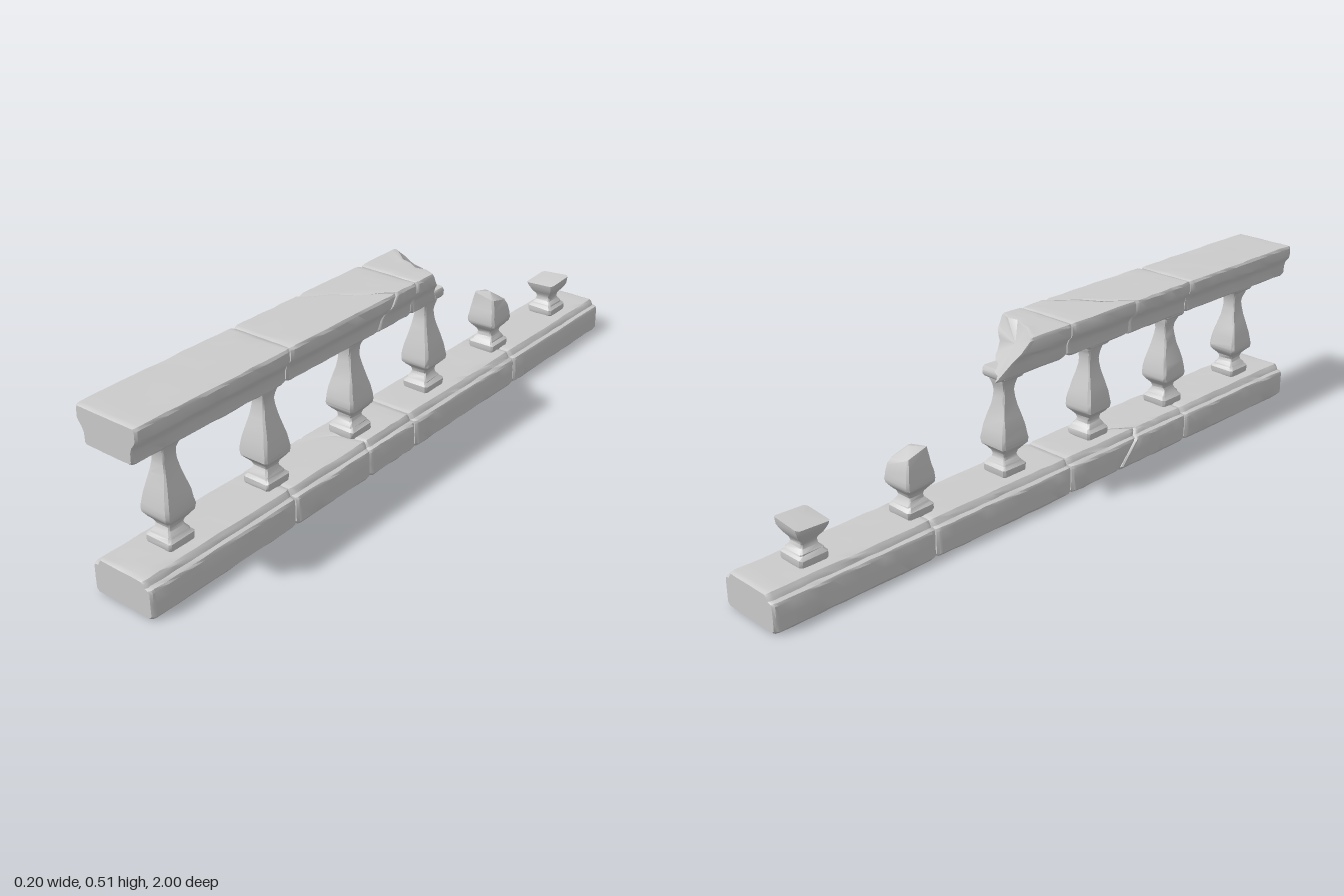
import * as THREE from 'three';
import { toCreasedNormals } from 'three/addons/utils/BufferGeometryUtils.js';

const stone = new THREE.MeshStandardMaterial({ color: 0xcccccc });

let seed = 7;
function rand(amount) {
  seed = (seed * 16807) % 2147483647;
  return (seed / 2147483647 - 0.5) * 2 * amount;
}

// Skin a list of equal-length rings; each end closes to a centre point.
function loft(rings, startPoint, endPoint) {
  const n = rings[0].length;
  const points = [...rings.flat(), startPoint, endPoint];
  const index = [];
  const last = (rings.length - 1) * n;
  for (let j = 0; j < n; j++) {
    const k = (j + 1) % n;
    for (let i = 0; i < last; i += n) {
      index.push(i + j, i + k, i + n + k, i + j, i + n + k, i + n + j);
    }
    index.push(points.length - 2, k, j, points.length - 1, last + j, last + k);
  }
  const geometry = new THREE.BufferGeometry().setFromPoints(points);
  geometry.setIndex(index);
  return toCreasedNormals(geometry, 0.6);
}

function addMesh(group, name, geometry) {
  const mesh = new THREE.Mesh(geometry, stone);
  mesh.name = name;
  group.add(mesh);
}

// Mirror the right half of a section (bottom to top) and split its long edges.
function section(half) {
  const loop = [...half, ...half.slice().reverse().map(([x, y]) => [-x, y])];
  const out = [];
  loop.forEach(([x, y], i) => {
    const [x2, y2] = loop[(i + 1) % loop.length];
    const steps = Math.ceil(Math.hypot(x2 - x, y2 - y) / 0.035);
    for (let s = 0; s < steps; s++) {
      out.push([x + (x2 - x) * s / steps, y + (y2 - y) * s / steps]);
    }
  });
  return out;
}

const railSection = section([[0.074, 0.41], [0.08, 0.416], [0.081, 0.442], [0.086, 0.457],
  [0.097, 0.47], [0.1, 0.478], [0.1, 0.503], [0.095, 0.51]]);
const baseSection = section([[0.092, 0.004], [0.1, 0.013], [0.1, 0.08], [0.096, 0.087],
  [0.084, 0.09], [0.079, 0.1], [0.073, 0.106]]);

// Worn block running between two end surfaces z = back(x, y) and z = front(x, y).
function block(profile, back, front, { backDip = 0, backRound = 0.93 } = {}) {
  const ys = profile.map((p) => p[1]);
  const midY = (Math.min(...ys) + Math.max(...ys)) / 2;
  const length = front(0, midY) - back(0, midY);
  const inner = Math.max(2, Math.round(length / 0.04));
  const stops = [[0, backRound], [0.006, (1 + backRound) / 2 + 0.015]];
  for (let i = 0; i <= inner; i++) stops.push([0.015 + (length - 0.03) * i / inner, 1]);
  stops.push([length - 0.006, 0.98], [length, 0.93]);
  const rings = stops.map(([d, scale]) => profile.map(([x, y]) => {
    const a = back(x, y), b = front(x, y);
    const wear = scale === 1 ? 0.0012 : 0.0006;
    return new THREE.Vector3(
      THREE.MathUtils.clamp(x * scale + rand(wear), -0.1, 0.1),
      midY + (y - midY) * (scale + 0.02 * (1 - scale)) + rand(wear),
      a + (b - a) * d / length);
  }));
  return loft(rings, new THREE.Vector3(0, midY, back(0, midY) + backDip),
    new THREE.Vector3(0, midY, front(0, midY)));
}

const at = (z) => () => z;

// Square ring with small corner bevels, counter-clockwise seen from above.
function squareRing(r, y, z, wear, lift = () => 0) {
  const c = r * 0.86;
  const corners = [[r, c], [r, -c], [c, -r], [-c, -r], [-r, -c], [-r, c], [-c, r], [c, r]];
  return corners.map(([x, dz]) => new THREE.Vector3(
    x + rand(wear), y + lift(x, dz) + rand(wear), z + dz + rand(wear)));
}

// Baluster from [half width, height] steps; a tilted, chipped top makes a stump.
function baluster(z, profile, { lift, peak = 0 } = {}) {
  const rings = profile.map(([r, y], i) =>
    squareRing(r, y, z, 0.0012, i === profile.length - 1 ? lift : undefined));
  const [, topY] = profile[profile.length - 1];
  return loft(rings, new THREE.Vector3(0, profile[0][1], z),
    new THREE.Vector3(0.004, topY + peak, z + 0.004));
}

const foot = [[0.04, 0.103], [0.043, 0.112], [0.043, 0.126], [0.035, 0.134], [0.034, 0.138],
  [0.026, 0.148], [0.024, 0.157], [0.027, 0.167]];
const belly = [[0.037, 0.178], [0.047, 0.19], [0.049, 0.2], [0.047, 0.217], [0.043, 0.24]];
const neck = [[0.035, 0.27], [0.027, 0.3], [0.022, 0.325], [0.0205, 0.342], [0.023, 0.36],
  [0.028, 0.374], [0.029, 0.379], [0.038, 0.384], [0.042, 0.391], [0.042, 0.404], [0.038, 0.414]];

export function createModel() {
  seed = 7;
  const group = new THREE.Group();
  group.name = 'brokenBalustrade';
  const gap = 0.002;

  // Plinth blocks, one of them cracked across
  const baseCrack = (x, y) => 0.2 + 0.09 * THREE.MathUtils.smoothstep(-x, -0.03, 0.1) * (y / 0.1)
    + 0.006 * Math.sin(x * 70);
  addMesh(group, 'plinthBlock', block(baseSection, at(-1), at(-0.5 - gap)));
  addMesh(group, 'plinthBlock', block(baseSection, at(-0.5 + gap), at(-gap)));
  addMesh(group, 'crackedPlinthBack', block(baseSection, at(gap),
    (x, y) => baseCrack(x, y) - 0.001));
  addMesh(group, 'crackedPlinthFront', block(baseSection,
    (x, y) => baseCrack(x, y) + 0.001, at(0.5 - gap), { backRound: 0.96 }));
  addMesh(group, 'plinthBlock', block(baseSection, at(0.5 + gap), at(1)));

  // Handrail blocks, the middle one cracked diagonally
  const railCrack = (x, y) => 0.175 - 0.85 * x + 0.6 * (0.51 - y) * (x > 0 ? x / 0.1 : 0)
    + 0.008 * Math.sin(x * 60);
  addMesh(group, 'handrailBlock', block(railSection, at(0.5 + gap), at(1)));
  addMesh(group, 'crackedHandrailFront', block(railSection,
    (x, y) => railCrack(x, y) + 0.001, at(0.5 - gap), { backRound: 0.97 }));
  addMesh(group, 'crackedHandrailBack', block(railSection, at(gap),
    (x, y) => railCrack(x, y) - 0.001));

  // Snapped handrail end: the break slopes down to a low spike on the -x side
  const breakEnd = (x, y) => {
    const t = (0.1 - x) / 0.2, b = (0.51 - y) / 0.1;
    return -0.08 - 0.08 * t - 0.02 * b - 0.105 * b * t
      + 0.025 * Math.sin(Math.PI * t) * (1 - b) + 0.006 * Math.sin(x * 90 + y * 60);
  };
  addMesh(group, 'brokenHandrailEnd', block(railSection, breakEnd, at(-gap),
    { backDip: 0.02, backRound: 0.98 }));

  // Whole balusters
  for (const z of [0.84, 0.505, 0.17, -0.165]) {
    addMesh(group, 'baluster', baluster(z, [...foot, ...belly, ...neck]));
  }

  // Broken stumps
  addMesh(group, 'tallStump', baluster(-0.5, [...foot, ...belly, [0.034, 0.272]],
    { lift: (x, z) => 0.28 * z - 0.2 * x, peak: 0.016 }));
  addMesh(group, 'shortStump', baluster(-0.835, [...foot, [0.037, 0.18], [0.047, 0.198], [0.049, 0.213]],
    { lift: (x, z) => 0.007 * Math.sin(x * 90 + z * 50), peak: 0.004 }));
  return group;
}
